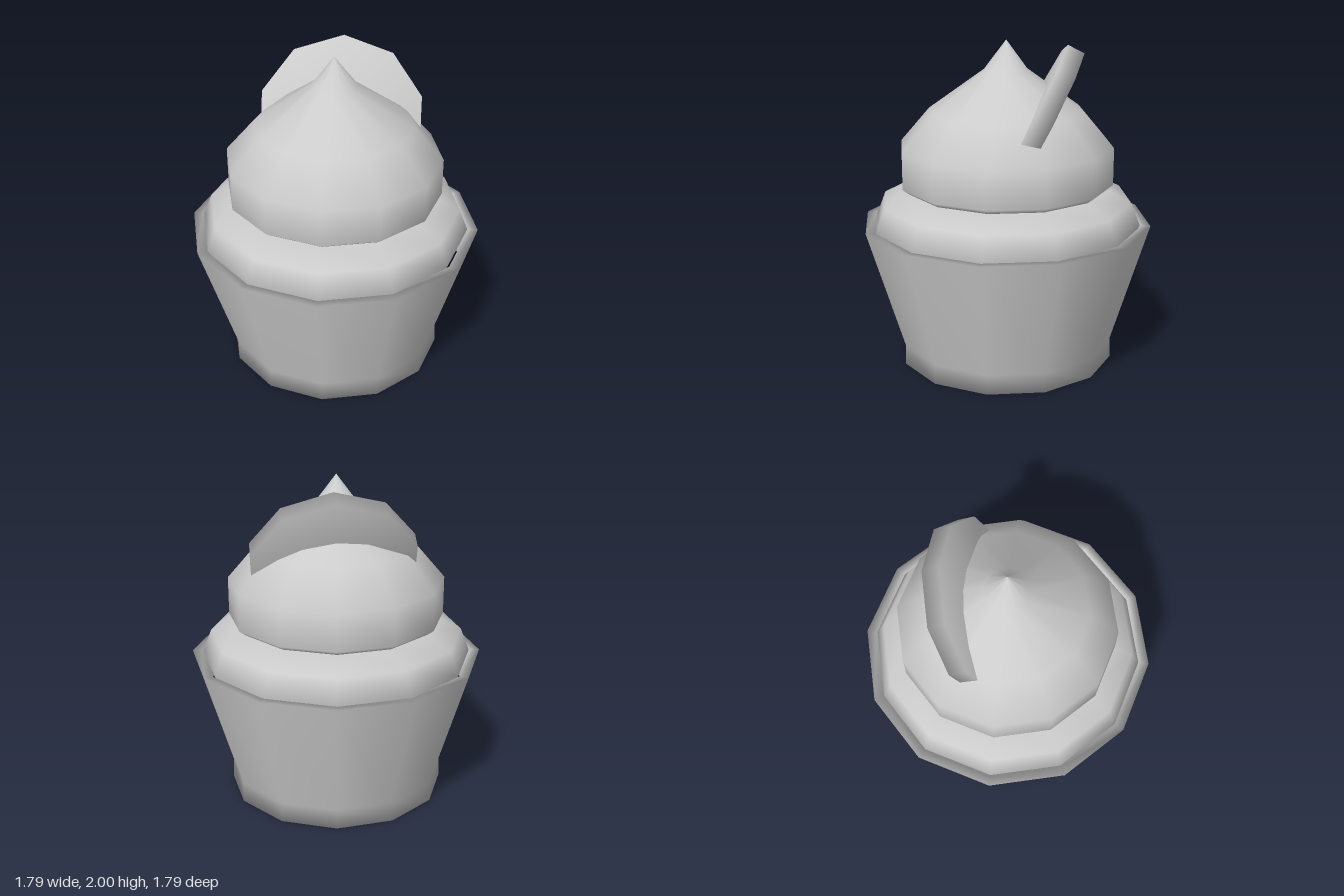
import * as THREE from 'three';
import { mergeVertices } from 'three/addons/utils/BufferGeometryUtils.js';

const SIDES = 12;
const material = new THREE.MeshStandardMaterial({ color: 0xcccccc });

// Smooth turned part with a 12-sided outline; profile runs bottom to top as [radius, y]
function turned(name, profile) {
  const points = profile.map(([r, y]) => new THREE.Vector2(r, y));
  const mesh = new THREE.Mesh(new THREE.LatheGeometry(points, SIDES), material);
  mesh.name = name;
  return mesh;
}

export function createModel() {
  const group = new THREE.Group();
  group.name = 'cupcake';

  // Paper cup with a short foot, a thin rim and an inner wall
  group.add(turned('cup', [
    [0, 0], [0.67, 0], [0.665, 0.12], [0.895, 0.88], [0.84, 0.88], [0.78, 0.7],
  ]));

  // Lower frosting layer, swelling just above the rim
  group.add(turned('lowerFrosting', [
    [0.74, 0.7], [0.83, 0.88], [0.775, 1.02], [0.61, 1.105], [0, 1.105],
  ]));

  // Upper frosting swirl, rising to a point
  group.add(turned('upperFrosting', [
    [0, 1.1], [0.62, 1.1], [0.66, 1.13], [0.66, 1.36], [0.48, 1.57], [0.135, 1.82], [0, 2],
  ]));

  // Round wafer pushed into the back of the frosting, leaning backwards
  let disc = new THREE.CylinderGeometry(0.51, 0.51, 0.11, 10, 1, false, THREE.MathUtils.degToRad(34));
  disc.rotateX(Math.PI / 2);
  disc.deleteAttribute('normal');
  disc.deleteAttribute('uv');
  disc = mergeVertices(disc, 1e-4);
  disc.computeVertexNormals();
  const wafer = new THREE.Mesh(disc, material);
  wafer.name = 'wafer';
  wafer.position.set(0.02, 1.5, -0.19);
  wafer.rotation.set(THREE.MathUtils.degToRad(-27), THREE.MathUtils.degToRad(6), 0, 'YXZ');
  group.add(wafer);

  return group;
}
